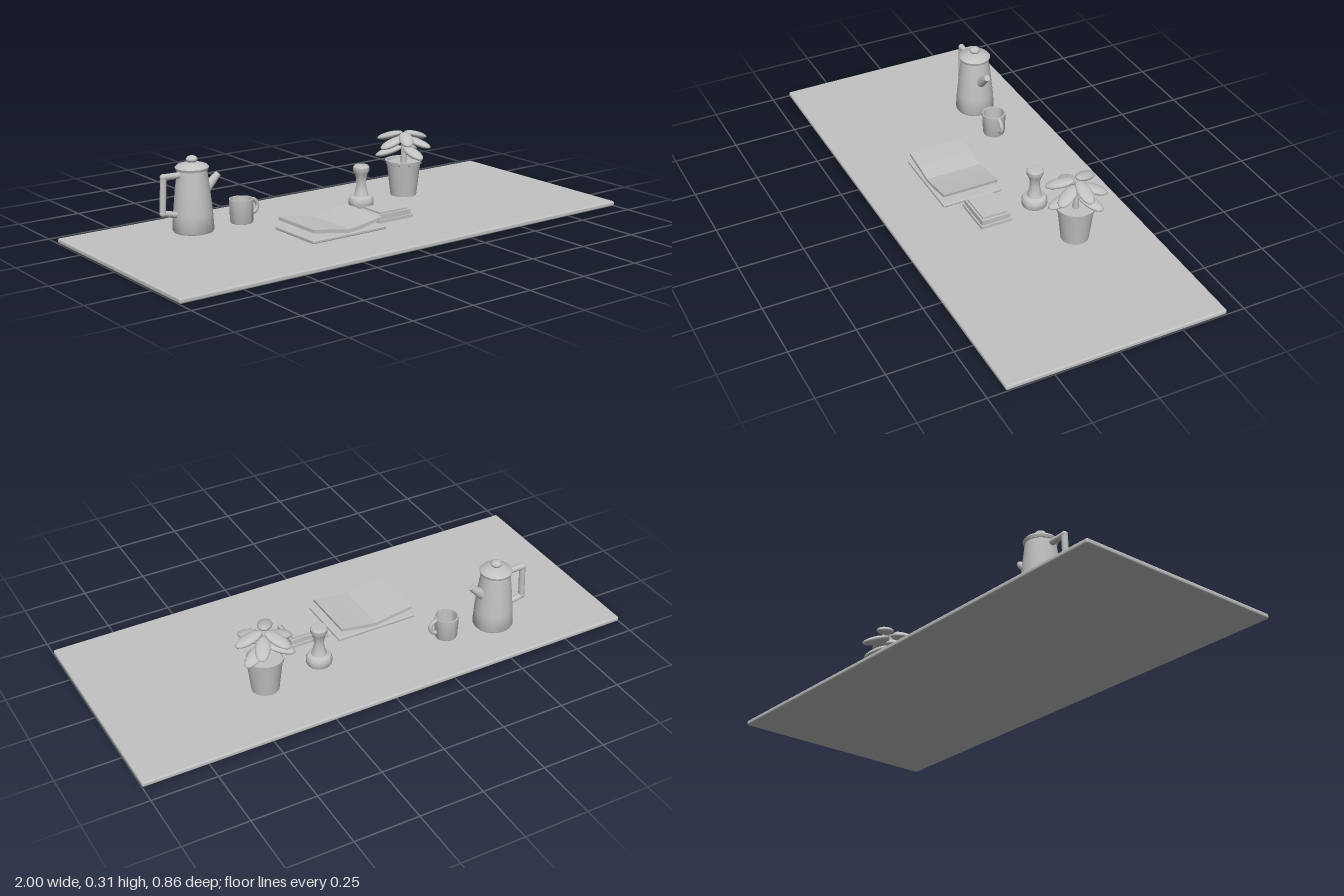
import * as THREE from 'three';
import { RoundedBoxGeometry } from 'three/addons/geometries/RoundedBoxGeometry.js';
import { toCreasedNormals } from 'three/addons/utils/BufferGeometryUtils.js';

const TOP = 0.02; // height of the table surface

export function createModel() {
  const model = new THREE.Group();
  model.name = 'deskSet';
  const clay = new THREE.MeshStandardMaterial({ color: 0xc2c2c2, side: THREE.DoubleSide });
  clay.name = 'plainGrey';

  const add = (parent, name, geometry, x = 0, y = 0, z = 0) => {
    const mesh = new THREE.Mesh(geometry, clay);
    mesh.name = name;
    mesh.position.set(x, y, z);
    parent.add(mesh);
    return mesh;
  };
  const group = (name, x, z) => {
    const g = new THREE.Group();
    g.name = name;
    g.position.set(x, TOP, z);
    model.add(g);
    return g;
  };
  const lathe = (points, sides = 28) => toCreasedNormals(
    new THREE.LatheGeometry(points.map(p => new THREE.Vector2(...p)), sides), 0.6);
  // Tapered rod between two points
  const rod = (parent, name, a, b, ra, rb) => {
    const from = new THREE.Vector3(...a), to = new THREE.Vector3(...b);
    const dir = to.clone().sub(from);
    const mesh = add(parent, name, new THREE.CylinderGeometry(rb, ra, dir.length(), 14));
    mesh.position.copy(from).addScaledVector(dir, 0.5);
    mesh.quaternion.setFromUnitVectors(new THREE.Vector3(0, 1, 0), dir.normalize());
    return mesh;
  };

  add(model, 'tabletop', new RoundedBoxGeometry(2, TOP, 0.86, 2, 0.007), 0, TOP / 2, 0);

  // Coffee pot
  const pot = group('coffeePot', -0.55, -0.22);
  add(pot, 'potBody', lathe([[0, 0], [0.074, 0], [0.078, 0.008], [0.074, 0.07],
    [0.065, 0.16], [0.055, 0.235], [0, 0.235]]));
  add(pot, 'potLid', lathe([[0, 0.232], [0.06, 0.232], [0.063, 0.242], [0.056, 0.25],
    [0.03, 0.258], [0.014, 0.262], [0.012, 0.27], [0, 0.27]]));
  add(pot, 'lidKnob', new THREE.SphereGeometry(0.022, 20, 12), 0, 0.271, 0).scale.y = 0.64;
  rod(pot, 'spout', [0.05, 0.145, 0], [0.112, 0.2, 0], 0.022, 0.012);
  const grip = [[-0.055, 0.218, 0], [-0.122, 0.22, 0], [-0.128, 0.085, 0], [-0.06, 0.068, 0]];
  grip.slice(1).forEach((p, i) => {
    rod(pot, 'potHandle', grip[i], p, 0.012, 0.012);
    if (i < 2) add(pot, 'handleJoint', new THREE.SphereGeometry(0.013, 14, 10), ...p);
  });

  // Hollow cup
  const cup = group('cup', -0.347, -0.205);
  add(cup, 'cupBody', lathe([[0, 0], [0.041, 0], [0.044, 0.008], [0.047, 0.092],
    [0.042, 0.092], [0.038, 0.012], [0, 0.01]]));
  add(cup, 'cupHandle', new THREE.TorusGeometry(0.027, 0.008, 10, 18, Math.PI),
    0.044, 0.056, 0).rotation.z = -Math.PI / 2;

  // Open book: flat cover with two rising leaves of pages
  const book = group('book', -0.136, 0.075);
  add(book, 'bookCover', new RoundedBoxGeometry(0.334, 0.013, 0.243, 2, 0.004), 0, 0.0065, 0);
  const outline = [[-0.158, 0.037], [-0.08, 0.026], [0, 0.012], [0.05, 0.018], [0.15, 0.037],
    [0.152, 0.049], [0.05, 0.032], [0, 0.026], [-0.08, 0.04], [-0.157, 0.05]];
  const pages = new THREE.ExtrudeGeometry(
    new THREE.Shape(outline.map(p => new THREE.Vector2(...p))),
    { depth: 0.227, bevelEnabled: false });
  add(book, 'bookPages', pages, 0, 0, -0.1135);

  // Ink pad: lipped base, case and raised lid
  const pad = group('inkPad', 0.131, 0.064);
  [['padBase', 0.165, 0.128, 0, 0.012], ['padCase', 0.152, 0.116, 0.012, 0.032],
    ['padLid', 0.13, 0.1, 0.032, 0.039]].forEach(([name, w, d, y0, y1]) =>
    add(pad, name, new THREE.BoxGeometry(w, y1 - y0, d), 0, (y0 + y1) / 2, 0));

  // Hand stamp
  const stamp = group('handStamp', 0.157, -0.122);
  add(stamp, 'stampBase', lathe([[0, 0], [0.046, 0], [0.049, 0.006], [0.049, 0.026],
    [0.044, 0.036], [0.03, 0.043], [0, 0.043]]));
  add(stamp, 'stampHandle', lathe([[0.03, 0.042], [0.024, 0.06], [0.019, 0.085], [0.02, 0.11],
    [0.026, 0.13], [0.032, 0.142], [0.032, 0.156], [0.027, 0.163], [0, 0.165]]));

  // Potted plant
  const plant = group('pottedPlant', 0.4, -0.16);
  add(plant, 'flowerPot', lathe([[0, 0], [0.052, 0], [0.067, 0.128], [0.072, 0.13],
    [0.074, 0.144], [0.066, 0.144], [0.064, 0.132], [0, 0.132]]));
  rod(plant, 'stem', [0, 0.13, 0], [0, 0.245, 0], 0.012, 0.009);
  // Three drooping whorls of three leaves: height, first angle in degrees
  [[0.18, 90], [0.218, 60], [0.238, 0]].forEach(([y, start]) => {
    for (let i = 0; i < 3; i++) {
      const holder = new THREE.Group();
      holder.name = 'leafHolder';
      holder.position.y = y;
      holder.rotation.y = -THREE.MathUtils.degToRad(start + i * 120);
      plant.add(holder);
      const leaf = add(holder, 'leaf', new THREE.SphereGeometry(1, 18, 12), 0.06, 0, 0);
      leaf.scale.set(0.056, 0.014, 0.028);
      leaf.rotation.z = -0.3;
    }
  });

  return model;
}
